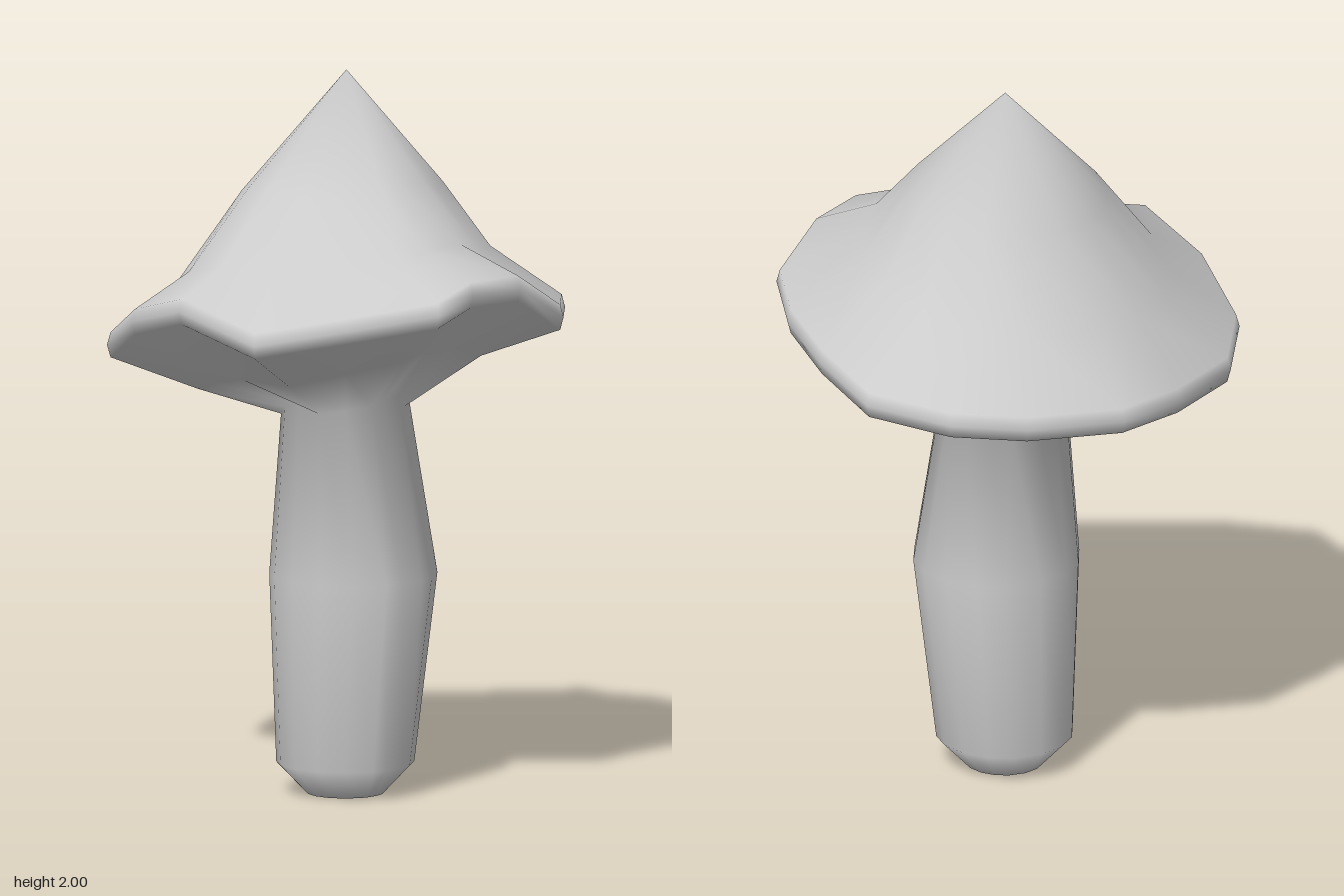
import * as THREE from 'three';

// Wavy cap rim, clockwise from the back: x, height, z
const RIM = [
  [0, 1.26, -0.627], [0.23, 1.3, -0.535], [0.415, 1.34, -0.43], [0.585, 1.355, -0.25],
  [0.577, 1.455, -0.09], [0.58, 1.46, 0.1], [0.587, 1.42, 0.24], [0.4, 1.375, 0.415],
  [0.22, 1.335, 0.59], [-0.03, 1.405, 0.625], [-0.27, 1.34, 0.565], [-0.46, 1.24, 0.467],
  [-0.582, 1.21, 0.26], [-0.587, 1.2, 0.02], [-0.577, 1.22, -0.225], [-0.4, 1.22, -0.43],
  [-0.24, 1.24, -0.57],
];
const N = RIM.length;

// Ring that follows the rim outline: scale, height, share of the rim's wave
const rimRing = (scale, y, wave) =>
  RIM.map(([x, ry, z]) => [x * scale, y + (ry - 1.32) * wave, z * scale]);

// Round ring with the rim's directions: radius, height, wave share, centre
const roundRing = (r, y, wave = 0, cx = 0, cz = 0) =>
  RIM.map(([x, ry, z]) => {
    const l = Math.hypot(x, z);
    return [cx + (x / l) * r, y + (ry - 1.32) * wave, cz + (z / l) * r];
  });

// Tips a ring up towards +x, and lets it sag towards front and back
const tilt = (ring, slope, sag = 0) =>
  ring.map(([x, y, z]) => [x, y + slope * x - sag * Math.abs(z), z]);

const point = (x, y, z) => RIM.map(() => [x, y, z]);

export function createModel() {
  const rings = [
    // cap, from the tip over the rim to the underside
    point(-0.03, 2, -0.03),
    roundRing(0.275, 1.69, 0.2, -0.01, 0.005),
    tilt(roundRing(0.425, 1.485, 0.33, -0.02, 0.025), 0.09),
    rimRing(0.985, 1.36, 1),
    rimRing(1, 1.325, 1),
    rimRing(0.985, 1.29, 1),
    tilt(rimRing(0.62, 1.2, 0.3), 0.11, 0.08),
    // stem, from its neck to the base
    roundRing(0.176, 1.075, 0.28, 0, 0.005),
    roundRing(0.23, 0.61, 0, 0.013, -0.013),
    roundRing(0.189, 0.085, 0, -0.005, 0),
    roundRing(0.108, 0, 0, -0.005, 0),
    point(-0.005, 0, 0),
  ];
  const NECK = 7;

  // Triangles between the rings first..last, leaving out collapsed ones
  const strip = (first, last) => {
    const index = [];
    for (let r = first; r < last; r++) {
      for (let i = 0; i < N; i++) {
        const a = r * N + i, b = r * N + ((i + 1) % N);
        if (r > 0) index.push(a, b, a + N);
        if (r < rings.length - 2) index.push(b, b + N, a + N);
      }
    }
    return index;
  };

  // One smooth skin, so that the cap flows into the stem
  const skin = new THREE.BufferGeometry();
  skin.setAttribute('position', new THREE.Float32BufferAttribute(rings.flat(2), 3));
  skin.setIndex(strip(0, rings.length - 1));
  skin.computeVertexNormals();
  // The tip and base centre get one shared normal each
  for (let i = 0; i < N; i++) {
    skin.attributes.normal.setXYZ(i, 0, 1, 0);
    skin.attributes.normal.setXYZ((rings.length - 1) * N + i, 0, -1, 0);
  }

  const material = new THREE.MeshStandardMaterial({ color: 0xcccccc });
  const group = new THREE.Group();
  group.name = 'mushroom';
  const addPart = (name, first, last) => {
    const geometry = skin.clone();
    geometry.setIndex(strip(first, last));
    const mesh = new THREE.Mesh(geometry, material);
    mesh.name = name;
    group.add(mesh);
  };
  addPart('cap', 0, NECK);
  addPart('stem', NECK, rings.length - 1);
  return group;
}
